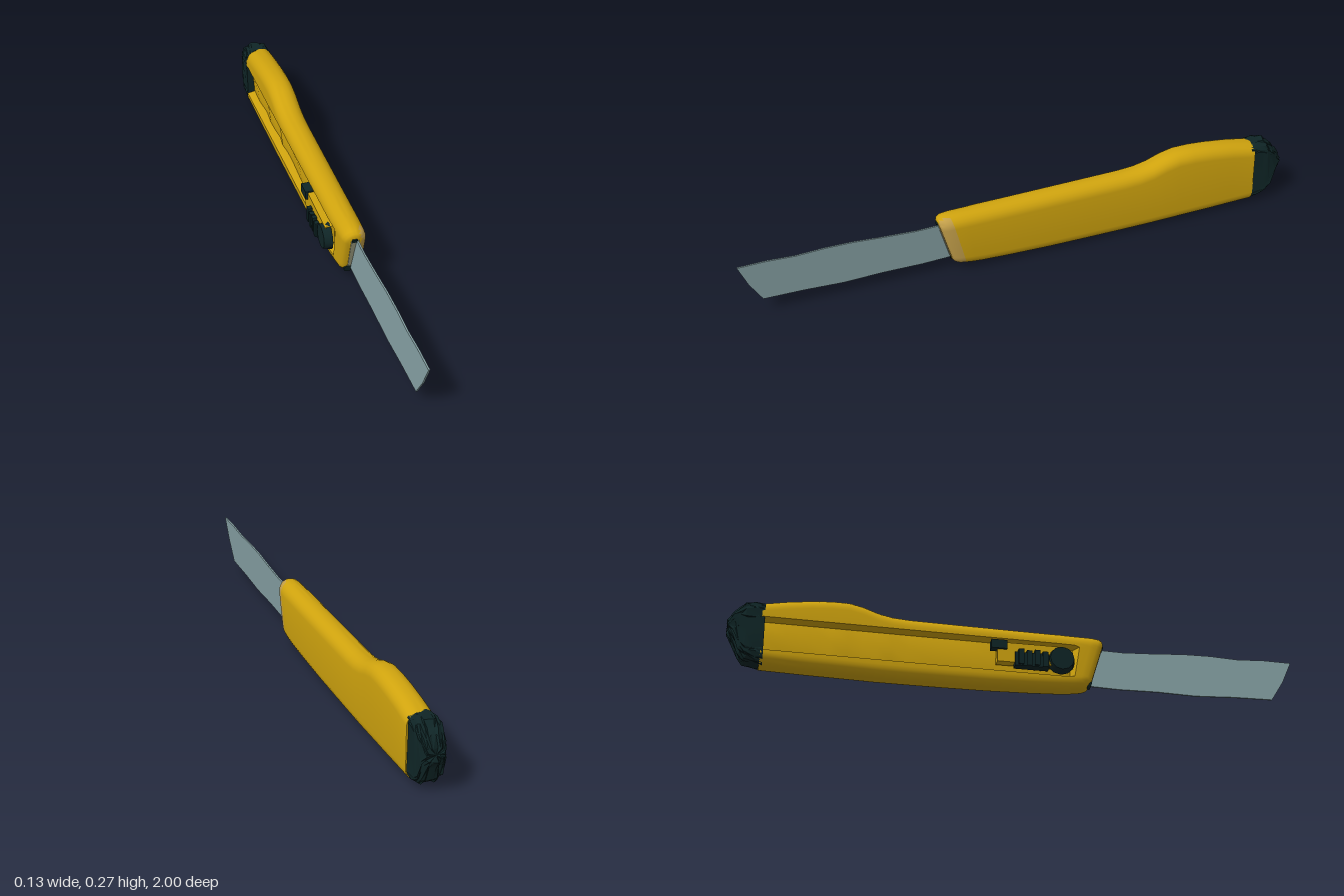
import * as THREE from 'three';
import { toCreasedNormals } from 'three/addons/utils/BufferGeometryUtils.js';

const mat = (name, color, side = THREE.FrontSide) => {
  const m = new THREE.MeshStandardMaterial({ color, side });
  m.name = name;
  return m;
};

// Rounded upright ring, counter-clockwise seen from +z, with a groove in its -x side
function ring({ z, y0, y1, hw, cx, skew = 0, groove = 0, lump = 0, r = 0.042 }) {
  const pts = [], rad = Math.min(r, hw * 0.95, (y1 - y0) / 2.1);
  const corner = (sx, top, start) => {
    const px = cx + sx * (hw - rad), py = top ? y1 - rad : y0 + rad;
    for (let i = 0; i <= 6; i++) {
      const a = start + (i / 6) * Math.PI / 2;
      pts.push([px + rad * Math.cos(a), py + rad * Math.sin(a)]);
    }
  };
  corner(1, false, -Math.PI / 2);
  corner(1, true, 0);
  corner(-1, true, Math.PI / 2);
  const side = cx - hw, h = y1 - y0;
  const gTop = Math.min(0.182, y1 - rad - 0.003), gBot = Math.max(0.06, y0 + rad + 0.003);
  const mid = (gTop + gBot) / 2;
  pts.push([side, gTop], [side + groove, gTop - 0.006], [side + groove - lump, mid],
    [side + groove - lump * 0.6, gBot + 0.006], [side, gBot]);
  corner(-1, false, Math.PI);
  return pts.map(([x, y]) => [x, y, z + skew * (y - 0.125)]);
}

// Skin over rings ordered from back to front, with closed ends
function loft(rings, centerX, isSecond = () => false, crease = 0.7) {
  const n = rings[0].length, lists = [[], []];
  const tri = (a, b, c, i) => lists[isSecond(a, b, c, i) ? 1 : 0].push(...a, ...b, ...c);
  for (let i = 0; i < rings.length - 1; i++) {
    for (let j = 0; j < n; j++) {
      const k = (j + 1) % n;
      const a = rings[i][j], b = rings[i][k], c = rings[i + 1][k], d = rings[i + 1][j];
      tri(a, b, c, i);
      tri(a, c, d, i);
    }
  }
  [rings[0], rings[rings.length - 1]].forEach((rg, end) => {
    const avg = [0, 1, 2].map(q => rg.reduce((s, p) => s + p[q], 0) / n);
    avg[0] = centerX[end];
    for (let j = 0; j < n; j++) {
      const k = (j + 1) % n;
      if (end) tri(avg, rg[j], rg[k], rings.length);
      else tri(avg, rg[k], rg[j], -1);
    }
  });
  const g = new THREE.BufferGeometry();
  g.setAttribute('position', new THREE.Float32BufferAttribute([...lists[0], ...lists[1]], 3));
  g.addGroup(0, lists[0].length / 3, 0);
  g.addGroup(lists[0].length / 3, lists[1].length / 3, 1);
  return toCreasedNormals(g, crease);
}

export function createModel() {
  const model = new THREE.Group();
  model.name = 'utilityKnife';
  const yellow = mat('yellow plastic', 0xd0a40e);
  const tan = mat('worn tan plastic', 0xc4a04a);
  const dark = mat('dark rubber', 0x0f2526);
  const steel = mat('blade steel', 0x86a1a4, THREE.DoubleSide);
  const slotGrey = mat('slot grey', 0x9c9c80);
  const add = (name, geo, material, parent = model) => {
    const m = new THREE.Mesh(geo, material);
    m.name = name;
    parent.add(m);
    return m;
  };

  // Handle: height and width sampled along its length (z, bottom, top)
  const stations = [[-0.885, 0.010, 0.243], [-0.80, 0.008, 0.259], [-0.72, 0.006, 0.270],
    [-0.65, 0.005, 0.276], [-0.59, 0.004, 0.276], [-0.54, 0.003, 0.265], [-0.49, 0.002, 0.247],
    [-0.44, 0.002, 0.237], [-0.38, 0.002, 0.233], [-0.25, 0.003, 0.232], [-0.10, 0.005, 0.231],
    [0.05, 0.010, 0.230], [0.15, 0.015, 0.230]];
  const axis = z => 0.003 + 0.014 * (z + 0.885) / 1.165;
  const rings = stations.map(([z, y0, y1], i) => ring({
    z, y0, y1, hw: 0.049 - 0.003 * i / 12, cx: axis(z), groove: 0.034,
    lump: 0.010 + 0.006 * Math.sin(i * 2.3) }));
  // Slanted, rounded nose
  const nose = [[0.19, 0.018, 0.230, 0.045, 0.12, 0.034], [0.205, 0.019, 0.230, 0.045, 0.16, 0],
    [0.235, 0.022, 0.230, 0.044, 0.26, 0], [0.258, 0.025, 0.227, 0.042, 0.30, 0],
    [0.272, 0.032, 0.220, 0.036, 0.30, 0], [0.279, 0.043, 0.210, 0.027, 0.30, 0]];
  for (const [z, y0, y1, hw, skew, groove] of nose)
    rings.push(ring({ z, y0, y1, hw, cx: axis(z) + 0.001, skew, groove }));
  const first = stations.length + 2;
  add('handle', loft(rings, [0.01, 0.018],
    (a, b, c, i) => i >= first && (a[0] + b[0] + c[0]) / 3 > 0.034), [yellow, tan]);

  // Blade slot on the slanted nose
  const front = new THREE.Group();
  front.name = 'noseSlot';
  front.position.set(0.018, 0.127, 0.279);
  front.rotation.x = Math.atan(0.3);
  model.add(front);
  add('slot', new THREE.BoxGeometry(0.028, 0.135, 0.006), slotGrey, front).position.x = -0.002;
  const plug = add('slotPlug', new THREE.CylinderGeometry(0.016, 0.018, 0.012, 8), dark, front);
  plug.rotation.x = Math.PI / 2;
  plug.position.set(-0.013, -0.082, -0.003);
  add('slotCatch', new THREE.BoxGeometry(0.018, 0.014, 0.01), dark, front).position.set(-0.004, 0.07, 0);

  // Blade with a slanted tip and slightly uneven edges
  const outline = new THREE.Shape([[0.22, 0.05], [0.36, 0.046], [0.50, 0.049], [0.64, 0.046],
    [0.78, 0.054], [0.92, 0.057], [0.965, 0.13], [1.0, 0.21], [0.90, 0.211], [0.80, 0.205],
    [0.70, 0.209], [0.60, 0.207], [0.50, 0.199], [0.38, 0.192], [0.22, 0.195]]
    .map(p => new THREE.Vector2(...p)));
  const blade = new THREE.ExtrudeGeometry(outline, { depth: 0.006, bevelEnabled: false });
  blade.rotateY(-Math.PI / 2);
  const bp = blade.attributes.position;
  for (let i = 0; i < bp.count; i++) {
    const y = bp.getY(i), z = bp.getZ(i);
    bp.setX(i, bp.getX(i) + 0.026 + 0.05 * (y - 0.13) + 0.009 * (z - 0.6));
  }
  blade.computeVertexNormals();
  add('blade', blade, steel);

  // Rough rubber end cap
  const cap = [[-0.995, 0.125, 0.172, 0.030], [-0.975, 0.095, 0.205, 0.040],
    [-0.955, 0.045, 0.222, 0.044], [-0.935, 0.026, 0.240, 0.046], [-0.905, 0.018, 0.243, 0.046],
    [-0.875, 0.014, 0.242, 0.047]].map(([z, y0, y1, hw], i) => ring({
    z, y0, y1, hw, cx: 0.001, r: 0.032 }).map(([x, y, zz], j) => [
    x + 0.002 * Math.sin(j * 2.1 + i * 1.7), y + 0.003 * Math.sin(j * 1.3 + i * 2.9),
    Math.max(-1, zz + (i < 5 ? 0.006 * Math.sin(j * 1.9 + i) : 0))]));
  add('endCap', loft(cap, [0, 0], undefined, 0.3), dark);

  // Thumb slider in the groove: yellow carriage with dark grips
  const slider = new THREE.Group();
  slider.name = 'slider';
  model.add(slider);
  const block = (name, x, y, z, w, h, d, m) =>
    add(name, new THREE.BoxGeometry(w, h, d), m, slider).position.set(x, y, z);
  block('carriage', -0.030, 0.125, 0.04, 0.034, 0.072, 0.24, yellow);
  const pad = add('frontGrip', new THREE.CylinderGeometry(0.042, 0.050, 0.030, 12), dark, slider);
  pad.rotation.z = Math.PI / 2;
  pad.position.set(-0.043, 0.115, 0.145);
  for (let i = 0; i < 4; i++)
    block('gripRidge', -0.046, 0.103 + 0.004 * (i % 2), 0.085 - i * 0.028, 0.034, 0.056, 0.018, dark);
  block('gripBase', -0.040, 0.10, 0.04, 0.032, 0.05, 0.12, dark);
  block('rearCatch', -0.041, 0.150, -0.075, 0.030, 0.032, 0.055, dark);
  return model;
}
